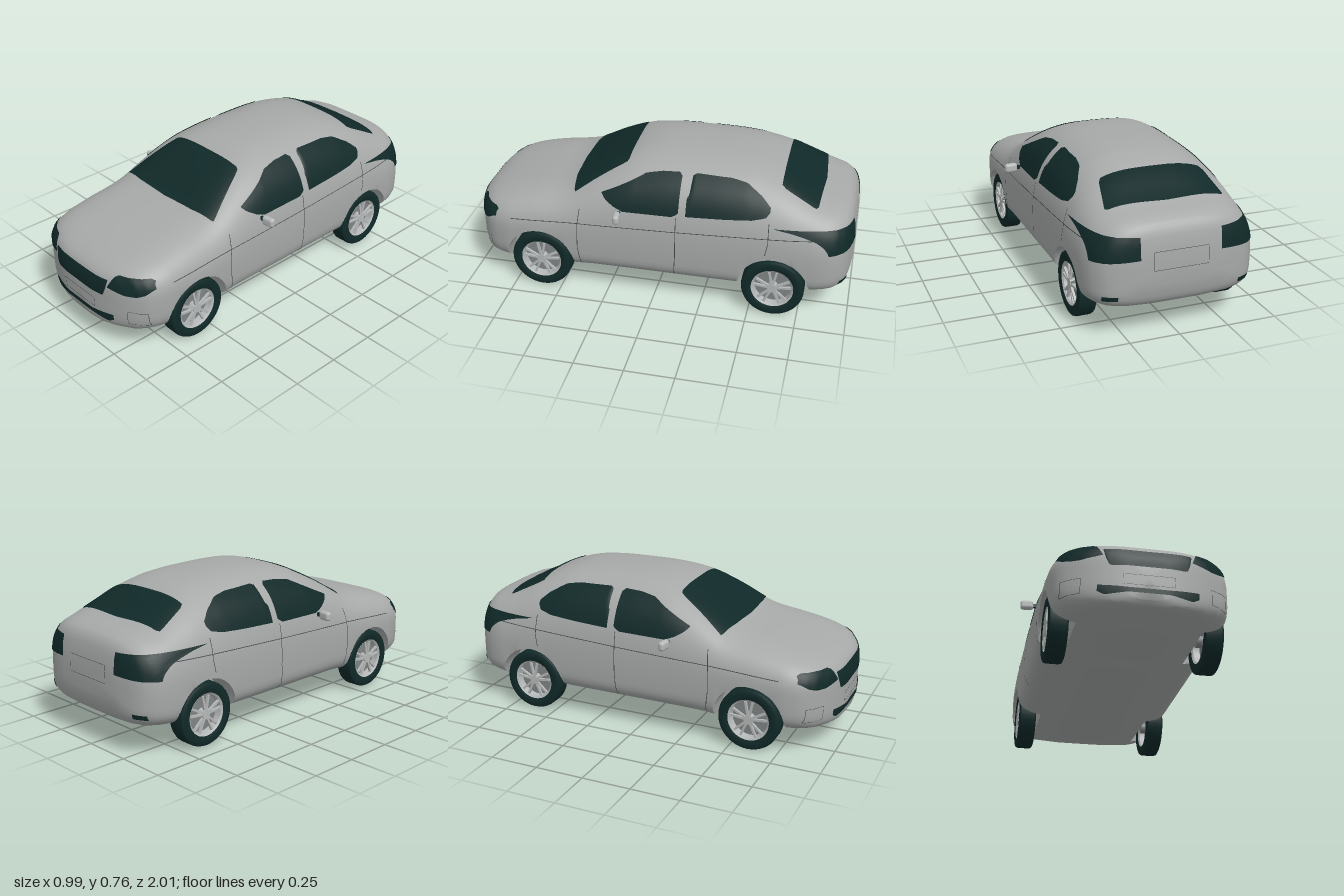
import * as THREE from 'three';
import { toCreasedNormals } from 'three/addons/utils/BufferGeometryUtils.js';
import { RoundedBoxGeometry } from 'three/addons/geometries/RoundedBoxGeometry.js';

const mat = (name, color, double) => {
  const m = new THREE.MeshStandardMaterial({ color });
  m.name = name;
  if (double) m.side = THREE.DoubleSide;
  return m;
};

// Monotone cubic through [z, value] pairs sorted by z
function curve(pts) {
  const d = pts.slice(1).map((p, i) => (p[1] - pts[i][1]) / (p[0] - pts[i][0]));
  const m = pts.map((_, i) => {
    if (i === 0) return d[0];
    if (i === d.length) return d[i - 1];
    return d[i - 1] * d[i] <= 0 ? 0 : (2 * d[i - 1] * d[i]) / (d[i - 1] + d[i]);
  });
  return z => {
    let i = 0;
    while (i < d.length - 1 && z > pts[i + 1][0]) i++;
    const h = pts[i + 1][0] - pts[i][0], t = (z - pts[i][0]) / h, t2 = t * t, t3 = t2 * t;
    return pts[i][1] * (2 * t3 - 3 * t2 + 1) + pts[i + 1][1] * (3 * t2 - 2 * t3)
      + h * (m[i] * (t3 - 2 * t2 + t) + m[i + 1] * (t3 - t2));
  };
}

// Piecewise linear lookup along [u, v] pairs
function polyAt(pts, u) {
  let i = 0;
  while (i < pts.length - 2 && u > pts[i + 1][0]) i++;
  const [a, b] = [pts[i], pts[i + 1]];
  const t = THREE.MathUtils.clamp((u - a[0]) / (b[0] - a[0]), 0, 1);
  return a[1] + (b[1] - a[1]) * t;
}

// Body contours along z: roof line, floor line, half width, shoulder squareness
const roof = curve([[-1, 0.42], [-0.99, 0.5], [-0.965, 0.55], [-0.92, 0.577], [-0.85, 0.592], [-0.8, 0.612],
  [-0.65, 0.69], [-0.55, 0.727], [-0.45, 0.748], [-0.3, 0.758], [-0.1, 0.76], [0, 0.756], [0.1, 0.74],
  [0.18, 0.712], [0.3, 0.652], [0.45, 0.568], [0.52, 0.548], [0.65, 0.526], [0.8, 0.493], [0.92, 0.455], [0.98, 0.41], [1, 0.35]]);
const floor = curve([[-1, 0.27], [-0.99, 0.21], [-0.97, 0.17], [-0.92, 0.145], [-0.8, 0.13], [-0.4, 0.122],
  [0.3, 0.118], [0.45, 0.108], [0.7, 0.104], [0.9, 0.112], [0.98, 0.125], [1, 0.15]]);
const width = curve([[-1, 0.2], [-0.99, 0.265], [-0.975, 0.32], [-0.95, 0.365], [-0.92, 0.393], [-0.87, 0.414],
  [-0.8, 0.426], [-0.65, 0.43], [0.6, 0.43], [0.75, 0.426], [0.83, 0.411], [0.88, 0.388], [0.92, 0.345],
  [0.95, 0.29], [0.975, 0.225], [0.995, 0.14], [1, 0.1]]);
const square = curve([[-1, 4], [-0.85, 4.2], [-0.7, 3.4], [-0.5, 2.9], [0, 2.9], [0.2, 3.5], [0.45, 4.5], [1, 4.5]]);

const AXLES = [0.6, -0.62], AXLE_Y = 0.16, ARCH = 0.182, BELT = 0.32;

function archHeight(z) {
  for (const c of AXLES) {
    const d = z - c;
    if (Math.abs(d) <= ARCH + 1e-6) return AXLE_Y + Math.sqrt(Math.max(0, ARCH * ARCH - d * d));
  }
  return 0;
}

// One closed cross-section; points in a wheel well are lifted to the arch
function section(z) {
  const T = roof(z), F = floor(z), w = width(z), n = square(z), A = archHeight(z), half = [];
  for (let k = 0; k <= 18; k++) {
    const a = (1 - k / 18) * Math.PI / 2;
    half.push([k ? Math.cos(a) ** (2 / n) : 0, BELT + (T - BELT) * Math.sin(a) ** 0.8]);
  }
  const xs = [];
  for (let k = 1; k <= 11; k++) xs.push(Math.sqrt(Math.cos(k / 11 * Math.PI / 3)));
  for (const x of [...xs, 0.7, 0.695, 0.35, 0]) half.push([x, BELT - (BELT - F) * (1 - x ** 4) ** 0.2]);
  const right = half.map(([x, y]) => [x * w, x > 0.698 ? Math.max(y, A) : y]);
  const left = right.slice(1, -1).reverse().map(([x, y]) => [-x, y]);
  return [...right, ...left].map(([x, y]) => [x, y, z]);
}

function bodyGeometry() {
  const zs = [-1, -0.997, -0.99, -0.982, -0.975, -0.963, 0.963, 0.975, 0.982, 0.99, 0.995, 0.998, 1];
  for (let k = 0; k <= 48; k++) zs.push(-0.95 + 1.9 * k / 48);
  for (const c of AXLES) {
    zs.push(c - ARCH - 0.002, c + ARCH + 0.002);
    for (let k = 0; k <= 20; k++) zs.push(c - ARCH * Math.cos(k / 20 * Math.PI));
  }
  zs.sort((a, b) => a - b);
  const rings = zs.map(section), N = rings[0].length, pos = rings.flat(2), idx = [];
  for (let i = 0; i < rings.length - 1; i++) for (let j = 0; j < N; j++) {
    const a = i * N + j, b = i * N + (j + 1) % N, c = b + N, d = a + N;
    idx.push(a, d, b, b, d, c);
  }
  const back = pos.length / 3, front = back + 1, last = (rings.length - 1) * N;
  pos.push(0, 0.34, -1, 0, 0.26, 1);
  for (let j = 0; j < N; j++) {
    const k = (j + 1) % N;
    idx.push(back, j, k, front, last + k, last + j);
  }
  const g = new THREE.BufferGeometry();
  g.setAttribute('position', new THREE.Float32BufferAttribute(pos, 3));
  g.setIndex(idx);
  return toCreasedNormals(g, 0.7);
}

export function createModel() {
  const car = new THREE.Group();
  const paint = mat('body grey', 0xa6a9a8), dark = mat('dark glass and rubber', 0x102928, true);
  const metal = mat('rim silver', 0xb6b9b9, true), seam = mat('seam grey', 0x424747, true);
  const shade = mat('hub grey', 0x808484);
  const add = (parent, name, geo, m, x = 0, y = 0, z = 0) => {
    const mesh = new THREE.Mesh(geo, m);
    mesh.name = name;
    mesh.position.set(x, y, z);
    parent.add(mesh);
    return mesh;
  };
  const body = add(car, 'body', bodyGeometry(), paint);

  // Directions from which thin details are laid on the body
  const V = (x, y, z) => new THREE.Vector3(x, y, z);
  const views = {
    front: [(a, b) => V(a, b, 2), V(0, 0, -1)], back: [(a, b) => V(a, b, -2), V(0, 0, 1)],
    top: [(a, b) => V(a, 2, b), V(0, -1, 0)],
    left: [(a, b) => V(2, b, a), V(-1, 0, 0)], right: [(a, b) => V(-2, b, a), V(1, 0, 0)],
  };
  const ray = new THREE.Raycaster();
  function patch(name, view, m, nu, nv, lift, fn) {
    const pos = [], idx = [], [origin, dir] = views[view];
    let p = V(0, 0.3, 0);
    for (let i = 0; i <= nu; i++) for (let j = 0; j <= nv; j++) {
      ray.set(origin(...fn(i / nu, j / nv)), dir);
      const hit = ray.intersectObject(body)[0];
      if (hit) p = hit.point.clone().addScaledVector(hit.face.normal, lift);
      pos.push(p.x, p.y, p.z);
      if (i < nu && j < nv) {
        const a = i * (nv + 1) + j, b = a + nv + 1;
        idx.push(a, b, a + 1, a + 1, b, b + 1);
      }
    }
    const g = new THREE.BufferGeometry();
    g.setAttribute('position', new THREE.Float32BufferAttribute(pos, 3));
    g.setIndex(idx);
    g.computeVertexNormals();
    add(car, name, g, m);
  }
  // Filled plate between a lower and an upper edge
  const plate = (name, view, lower, upper, nu = 24, nv = 7) => {
    const u0 = lower[0][0], u1 = lower[lower.length - 1][0];
    patch(name, view, dark, nu, nv, 0.004, (s, t) => {
      const u = u0 + (u1 - u0) * s, lo = polyAt(lower, u);
      return [u, lo + (polyAt(upper, u) - lo) * t];
    });
  };
  // Thin line along a polyline
  const line = (name, view, pts, w = 0.0018) => pts.slice(1).forEach((q, i) => {
    const p = pts[i], dx = q[0] - p[0], dy = q[1] - p[1], len = Math.hypot(dx, dy);
    patch(name, view, seam, Math.ceil(len / 0.03), 1, 0.002, (s, t) => {
      const o = (t * 2 - 1) * w / len;
      return [p[0] + dx * s - dy * o, p[1] + dy * s + dx * o];
    });
  });
  const rect = (x0, y0, x1, y1) => [[x0, y0], [x1, y0], [x1, y1], [x0, y1], [x0, y0]];
  const flip = pts => pts.map(([x, y]) => [-x, y]).reverse();

  // Windscreen and rear window
  plate('windscreen', 'top', [[-0.33, 0.42], [-0.325, 0.425], [-0.2, 0.447], [0, 0.457], [0.2, 0.447], [0.325, 0.425], [0.33, 0.42]],
    [[-0.33, 0.415], [-0.235, 0.17], [-0.22, 0.16], [0.22, 0.16], [0.235, 0.17], [0.33, 0.415]], 40, 10);
  plate('rearWindow', 'top', [[-0.295, -0.8], [-0.28, -0.81], [0, -0.826], [0.28, -0.81], [0.295, -0.8]],
    [[-0.295, -0.79], [-0.262, -0.63], [-0.25, -0.623], [0.25, -0.623], [0.262, -0.63], [0.295, -0.79]], 40, 8);

  // Grilles and number plate outlines
  plate('grille', 'front', [[-0.202, 0.39], [-0.185, 0.318], [-0.17, 0.312], [0.17, 0.312], [0.185, 0.318], [0.202, 0.39]],
    [[-0.202, 0.4], [0, 0.398], [0.202, 0.4]], 36, 6);
  plate('lowerGrille', 'front', [[-0.232, 0.185], [-0.2, 0.167], [-0.1, 0.18], [0.1, 0.18], [0.2, 0.167], [0.232, 0.185]],
    [[-0.232, 0.215], [-0.1, 0.203], [0.1, 0.203], [0.232, 0.215]], 36, 3);
  line('frontPlateOutline', 'front', rect(-0.118, 0.22, 0.118, 0.27), 0.001);
  line('rearPlateOutline', 'back', rect(-0.135, 0.34, 0.135, 0.43), 0.001);

  // Lamps, mirrored left and right
  const lampLow = [[0.206, 0.365], [0.3, 0.348], [0.345, 0.35], [0.378, 0.362], [0.397, 0.388]];
  const lampTop = [[0.206, 0.368], [0.23, 0.422], [0.245, 0.431], [0.365, 0.431], [0.38, 0.424], [0.397, 0.39]];
  const tailLow = [[0.2, 0.4], [0.405, 0.39]], tailTop = [[0.2, 0.505], [0.405, 0.51]];
  const refLow = [[0.3, 0.207], [0.365, 0.207]], refTop = [[0.3, 0.23], [0.365, 0.23]];
  for (const f of [p => p, flip]) {
    plate('headlight', 'front', f(lampLow), f(lampTop));
    plate('tailLight', 'back', f(tailLow), f(tailTop));
    plate('rearReflector', 'back', f(refLow), f(refTop), 6, 2);
    line('fogLampOutline', 'front', f(rect(0.302, 0.185, 0.385, 0.257)), 0.001);
  }

  // Side windows and door seams
  for (const side of ['left', 'right']) {
    plate('frontSideWindow', side, [[-0.133, 0.535], [-0.105, 0.514], [0.15, 0.51], [0.2, 0.528], [0.25, 0.558], [0.268, 0.578]],
      [[-0.133, 0.69], [-0.12, 0.702], [-0.03, 0.698], [0.05, 0.685], [0.12, 0.65], [0.2, 0.612], [0.268, 0.582]]);
    plate('rearSideWindow', side, [[-0.585, 0.58], [-0.57, 0.557], [-0.5, 0.54], [-0.35, 0.53], [-0.17, 0.522]],
      [[-0.585, 0.6], [-0.54, 0.64], [-0.46, 0.685], [-0.38, 0.698], [-0.2, 0.703], [-0.178, 0.69], [-0.17, 0.6]]);
    line('waistLine', side, [[0.75, 0.393], [0.4, 0.415], [-0.1, 0.433], [-0.45, 0.449], [-0.8, 0.465]]);
    line('frontDoorSeam', side, [[0.38, 0.49], [0.39, 0.4], [0.392, 0.28], [0.38, 0.18]]);
    line('middleDoorSeam', side, [[-0.122, 0.51], [-0.122, 0.3], [-0.115, 0.17]]);
    line('rearDoorSeam', side, [[-0.585, 0.53], [-0.587, 0.43], [-0.575, 0.365]]);
  }

  // Door mirrors
  for (const s of [1, -1]) {
    add(car, 'mirrorArm', new THREE.BoxGeometry(0.04, 0.018, 0.016), dark, s * 0.415, 0.5, 0.17);
    const m = add(car, 'mirror', new RoundedBoxGeometry(0.068, 0.048, 0.034, 4, 0.015), metal, s * 0.46, 0.501, 0.17);
    m.rotation.y = s * 0.12;
  }

  // Wheels with five forked spokes, outer face towards +x
  const lathe = pts => new THREE.LatheGeometry(pts.map(p => new THREE.Vector2(...p)), 40).rotateZ(-Math.PI / 2);
  const disc = (r, h) => new THREE.CylinderGeometry(r, r, h, 32).rotateZ(-Math.PI / 2);
  const tyre = toCreasedNormals(lathe([[0.106, -0.04], [0.124, -0.047], [0.146, -0.047], [0.156, -0.042], [0.16, -0.032],
    [0.16, 0.032], [0.156, 0.042], [0.146, 0.047], [0.124, 0.047], [0.106, 0.04]]), 0.7);
  const rim = toCreasedNormals(lathe([[0.108, -0.043], [0.098, -0.036], [0.094, 0], [0.098, 0.036], [0.108, 0.043]]), 0.7);
  const spoke = new THREE.BoxGeometry(0.012, 0.082, 0.011).translate(0.034, 0.056, 0);
  for (const z of AXLES) for (const s of [1, -1]) {
    const wheel = new THREE.Group();
    wheel.name = 'wheel';
    wheel.position.set(s * 0.368, AXLE_Y, z);
    if (s < 0) wheel.rotation.y = Math.PI;
    add(wheel, 'tyre', tyre, dark);
    add(wheel, 'rim', rim, metal);
    add(wheel, 'wheelDisc', disc(0.095, 0.008), shade);
    add(wheel, 'hub', disc(0.024, 0.044), metal, 0.02);
    add(wheel, 'axleStub', disc(0.03, 0.05), shade, -0.025);
    for (let k = 0; k < 5; k++) for (const fork of [-0.2, 0.2]) {
      add(wheel, 'spoke', spoke, metal).rotation.x = k * Math.PI * 0.4 + fork;
    }
    car.add(wheel);
  }
  return car;
}
